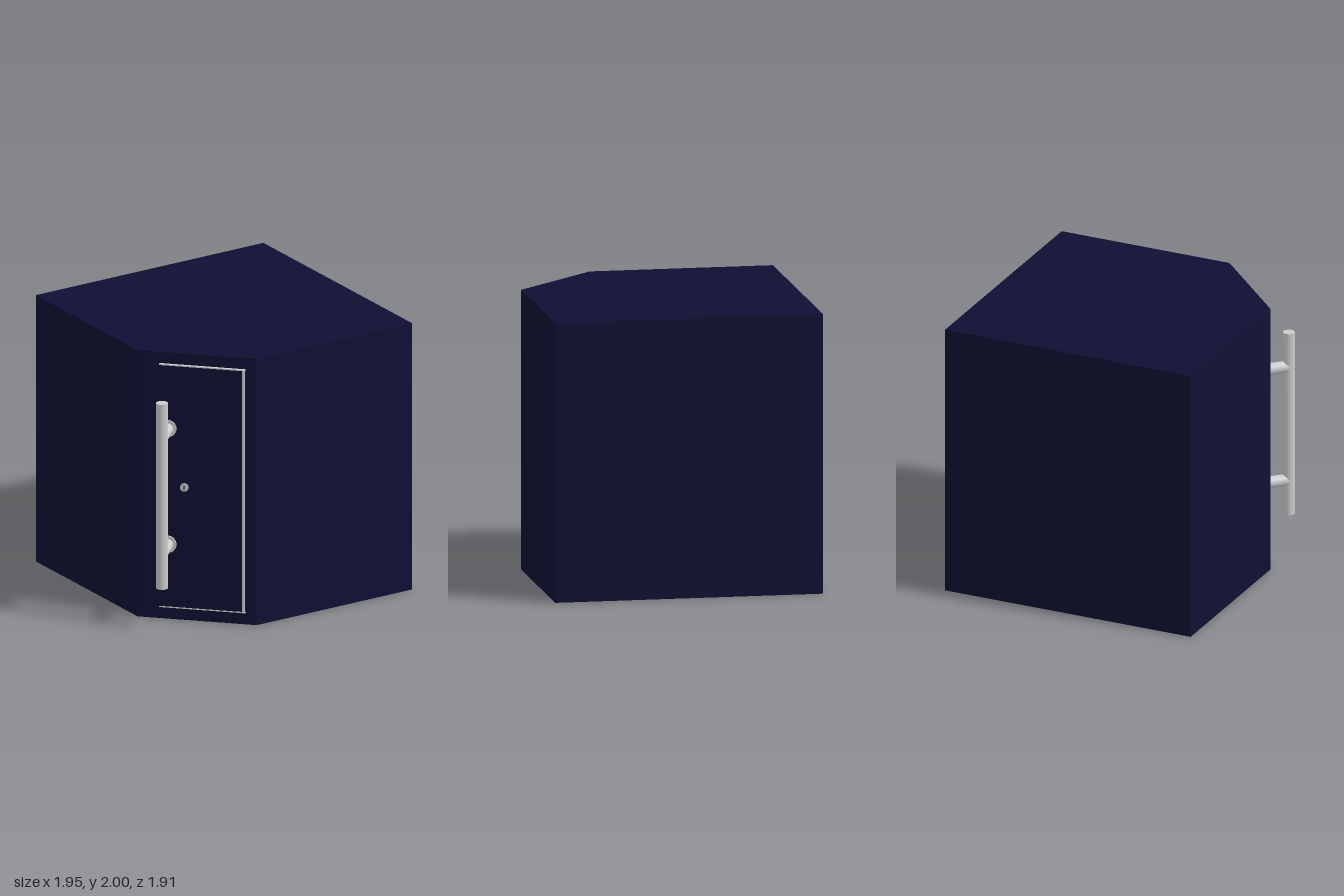
import * as THREE from 'three';

const navy = new THREE.MeshStandardMaterial({ color: 0x0f1033 });
const steel = new THREE.MeshStandardMaterial({ color: 0xcccccc });

function add(parent, name, geometry, material, x, y, z) {
  const mesh = new THREE.Mesh(geometry, material);
  mesh.name = name;
  mesh.position.set(x, y, z);
  parent.add(mesh);
  return mesh;
}

// Cylinder whose axis runs out of the door
function outward(radius, length, sides = 32) {
  return new THREE.CylinderGeometry(radius, radius, length, sides).rotateX(Math.PI / 2);
}

export function createModel() {
  const model = new THREE.Group();
  model.name = 'cornerDoorBlock';

  // Solid block with one chamfered corner
  const plan = [[-0.94, -0.96], [0.97, -0.96], [0.97, 0.955], [-0.335, 0.955], [-0.94, 0.35]];
  const shape = new THREE.Shape(plan.map(([x, z]) => new THREE.Vector2(x, -z)));
  const block = new THREE.ExtrudeGeometry(shape, { depth: 2, bevelEnabled: false }).rotateX(-Math.PI / 2);
  add(model, 'block', block, navy, 0, 0, 0);

  // Door group: local x runs along the chamfer, local z points out of it
  const door = new THREE.Group();
  door.name = 'door';
  door.position.set(-0.6375, 0, 0.6525);
  door.rotation.y = -Math.PI / 4;
  model.add(door);

  add(door, 'doorPanel', new THREE.BoxGeometry(0.68, 1.82, 0.036), navy, 0.01, 1.003, 0);

  // Metal edging along the top, bottom and free edge
  for (const y of [0.094, 1.912]) {
    add(door, 'edgeTrim', new THREE.BoxGeometry(0.62, 0.008, 0.042), steel, 0.04, y, 0);
  }
  add(door, 'sideTrim', new THREE.BoxGeometry(0.02, 1.826, 0.05), steel, 0.337, 1.003, 0);

  // Pull handle: upright bar on two standoffs with round plates
  const handle = new THREE.Group();
  handle.name = 'handle';
  handle.position.x = -0.207;
  door.add(handle);
  add(handle, 'bar', new THREE.CylinderGeometry(0.042, 0.042, 1.39, 32), steel, 0, 1.005, 0.217);
  for (const y of [0.568, 1.437]) {
    add(handle, 'standoff', outward(0.042, 0.217), steel, 0, y, 0.1085);
    add(handle, 'plate', outward(0.063, 0.02), steel, 0, y, 0.02);
  }

  // Lock cylinder with a key slot
  add(door, 'lock', outward(0.03, 0.02), steel, -0.088, 1.003, 0.018);
  add(door, 'keySlot', new THREE.BoxGeometry(0.008, 0.034, 0.004), navy, -0.088, 1.003, 0.0275);

  return model;
}
